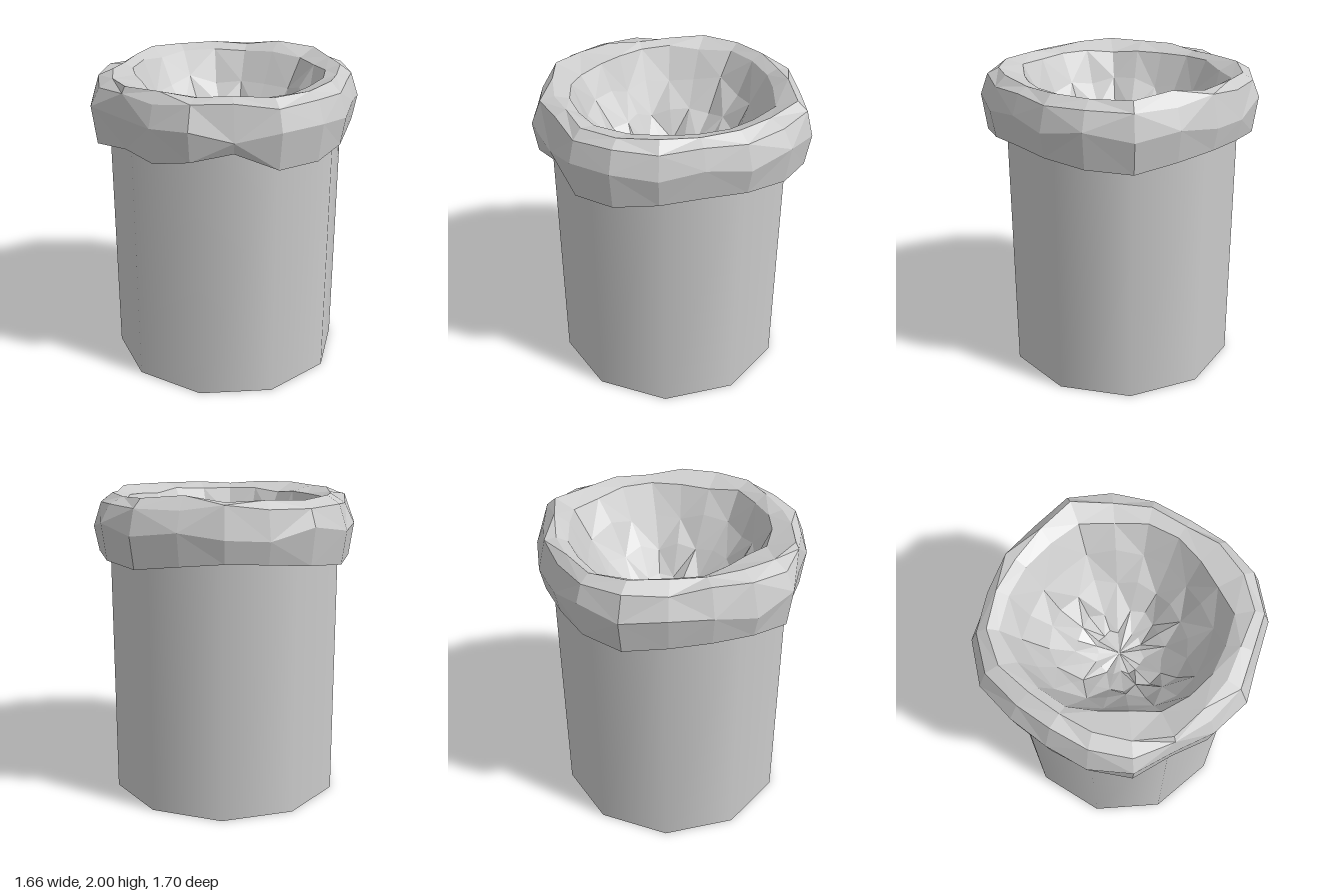
import * as THREE from 'three';

// Radii and heights around the rim, every 18 degrees from +x towards +z
const OUTER = [.83, .86, .885, .87, .813, .84, .81, .787, .865, .845, .82, .835, .892, .885, .85, .86, .875, .935, .923, .88];
const CREST = [.72, .75, .765, .763, .69, .69, .70, .75, .72, .69, .66, .68, .75, .777, .753, .74, .75, .83, .766, .755];
const LIP = [.64, .61, .606, .65, .608, .60, .586, .577, .537, .552, .60, .62, .642, .71, .68, .67, .66, .70, .655, .66];
const HEM = [1.61, 1.6, 1.57, 1.56, 1.66, 1.61, 1.56, 1.59, 1.57, 1.6, 1.6, 1.59, 1.57, 1.59, 1.61, 1.62, 1.6, 1.57, 1.59, 1.61];
const N = OUTER.length;

// Repeatable unevenness in the range -1..1
const rough = (i, k) => Math.sin(i * 2.4 + k * 1.7) * 0.6 + Math.sin(i * 5.1 + k * 3.3) * 0.4;

// Skin of triangles over closed rings of equal point count
function loft(rings) {
  const points = rings.flat();
  const index = [];
  for (let r = 0; r < rings.length - 1; r++) {
    for (let i = 0; i < N; i++) {
      const j = (i + 1) % N;
      const a = r * N + i, b = r * N + j, c = a + N, d = b + N;
      if ((i + r) % 2) index.push(a, c, b, b, c, d);
      else index.push(a, c, d, a, d, b);
    }
  }
  const geometry = new THREE.BufferGeometry().setFromPoints(points);
  geometry.setIndex(index);
  const flat = geometry.toNonIndexed();
  flat.computeVertexNormals();
  return flat;
}

// One ring from a radius rule and a height rule, about a centre (cx, cz)
function ring(radius, height, cx = 0, cz = 0) {
  return Array.from({ length: N }, (_, i) => {
    const a = (i / N) * Math.PI * 2, r = radius(i);
    return new THREE.Vector3(cx + r * Math.cos(a), height(i), cz + r * Math.sin(a));
  });
}

export function createModel() {
  const group = new THREE.Group();
  const smooth = new THREE.MeshStandardMaterial({ color: 0xcccccc });
  const faceted = new THREE.MeshStandardMaterial({ color: 0xcccccc, flatShading: true, side: THREE.DoubleSide });

  // Smooth ten-sided pillar, open at the top where the bowl sinks in
  const pillar = new THREE.Mesh(new THREE.CylinderGeometry(0.755, 0.755, 1.72, 10, 1, true), smooth);
  pillar.name = 'pillar';
  pillar.position.set(0.02, 0.86, -0.025);
  group.add(pillar);

  const base = new THREE.Mesh(new THREE.CircleGeometry(0.755, 10, Math.PI / 2), smooth);
  base.name = 'pillarBase';
  base.rotation.x = Math.PI / 2;
  base.position.set(0.02, 0, -0.025);
  group.add(base);

  // Lumpy rim: underside, hanging hem, bulging side, crest, inner lip
  const lip = ring(i => LIP[i], i => 1.93 + 0.015 * rough(i, 4));
  const rim = new THREE.Mesh(loft([
    ring(() => 0.71, i => HEM[i] + 0.07),
    ring(i => OUTER[i] * 0.965, i => HEM[i]),
    ring(i => OUTER[i], i => 1.78 + 0.05 * rough(i, 1)),
    ring(i => OUTER[i] * 0.6 + CREST[i] * 0.4, i => 1.93 + 0.025 * rough(i, 2)),
    ring(i => CREST[i], i => (i === 16 ? 2 : 1.97 + 0.012 * rough(i, 3))),
    lip,
  ]), faceted);
  rim.name = 'rim';
  group.add(rim);

  // Rough bowl sinking from the lip to a small uneven floor
  const bowl = new THREE.Mesh(loft([
    lip,
    ring(i => LIP[i] * 0.84, i => 1.74 + 0.04 * rough(i, 5)),
    ring(i => LIP[i] * 0.65 + 0.02 * rough(i, 6), i => 1.57 + 0.04 * rough(i, 7), 0.01, -0.01),
    ring(i => 0.28 + 0.03 * rough(i, 8), i => 1.42 + 0.03 * rough(i, 9), 0.02, -0.03),
    ring(i => 0.15 + 0.02 * rough(i, 10), i => 1.34 + 0.02 * rough(i, 11), 0.03, -0.04),
    ring(() => 0.001, () => 1.33, 0.03, -0.04),
  ]), faceted);
  bowl.name = 'bowl';
  group.add(bowl);

  return group;
}
